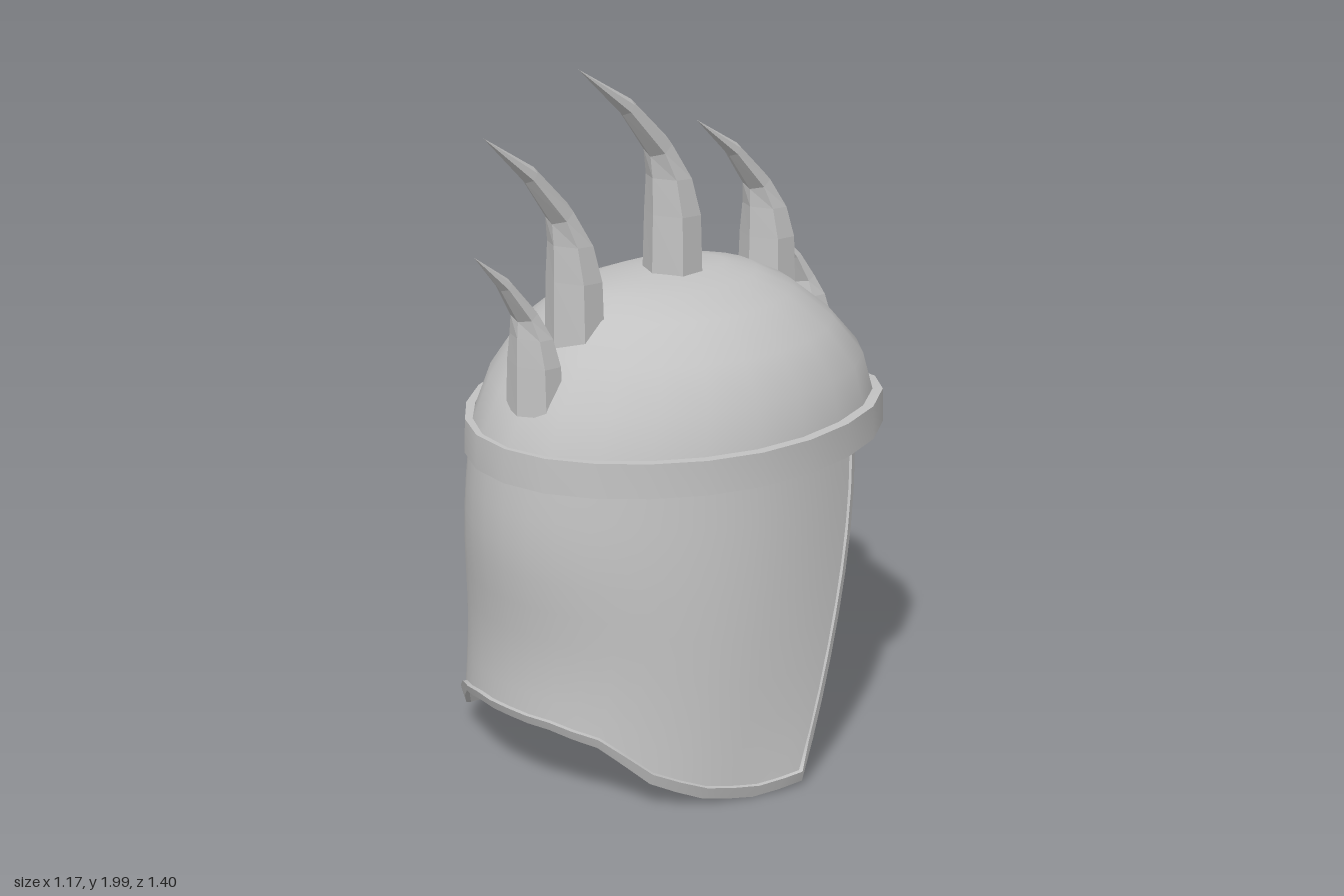
import * as THREE from 'three';
import { mergeGeometries } from 'three/addons/utils/BufferGeometryUtils.js';

const { lerp, clamp, degToRad } = THREE.MathUtils;

// Smooth surface through rows of points; rows run upward, columns from the front towards +x
function loft(rows, closed) {
  const n = rows[0].length, pos = [], idx = [];
  rows.forEach(row => row.forEach(p => pos.push(...p)));
  for (let r = 0; r < rows.length - 1; r++) {
    for (let j = 0; j < (closed ? n : n - 1); j++) {
      const k = (j + 1) % n, a = r * n + j, b = r * n + k, c = a + n, d = b + n;
      idx.push(a, b, c, b, d, c);
    }
  }
  const g = new THREE.BufferGeometry();
  g.setAttribute('position', new THREE.Float32BufferAttribute(pos, 3));
  g.setIndex(idx);
  g.computeVertexNormals();
  return g;
}

// Strip swept through a list of cross-sections, with sharp edges along its length
function sweep(sections, closed) {
  const sides = [];
  for (let i = 0; i < sections[0].length - 1; i++) {
    sides.push(loft([sections.map(s => s[i]), sections.map(s => s[i + 1])], closed));
  }
  return mergeGeometries(sides);
}

// Piecewise linear lookup
function lookup(table, x) {
  let i = 1;
  while (i < table.length - 1 && table[i][0] < x) i++;
  const [x0, y0] = table[i - 1], [x1, y1] = table[i];
  return lerp(y0, y1, (x - x0) / (x1 - x0));
}

// Egg plan: slimmer front corners, fuller back corners
function egg(angle) {
  const diagonal = Math.sin(2 * angle) ** 2;
  return 1 + diagonal * (Math.cos(angle) > 0 ? -0.028 : 0.028);
}

// Oval ring point: half width a, front end zf, back end zb
function oval(angle, y, a, zf, zb) {
  const zc = (zf + zb) / 2, k = egg(angle);
  return [a * k * Math.sin(angle), y, zc + (zf - zb) / 2 * k * Math.cos(angle)];
}

// Lower edge height of the guard, from its middle (0) to its side edge (1)
const HEM = [[0, 0.225], [0.17, 0.22], [0.35, 0.185], [0.5, 0.085], [0.66, 0.03], [0.82, 0.005], [1, 0.02]];

// Guard surface: u from -1 to 1 across, t from 0 (top) to 1 (hem)
function guardPoint(u, t, offset = 0) {
  const angle = u * degToRad(112 - 22 * Math.pow(t, 1.5));
  const k = lerp(egg(angle), 1, t * t * 0.7);
  const flare = 0.035 * t * Math.max(0, (Math.abs(u) - 0.8) / 0.2);
  const a = lerp(0.52, 0.54, t) + 0.012 * Math.sin(Math.PI * t) + flare + offset;
  const b = lerp(0.635, 0.58, t) + 0.012 * Math.sin(2 * Math.PI * t) + offset;
  return [a * k * Math.sin(angle), lerp(0.915, lookup(HEM, Math.abs(u)), t),
    lerp(-0.025, 0.03, t) + b * k * Math.cos(angle)];
}

// Curved claw-like horn with a six-sided section
function hornGeometry(lean, height, width) {
  // centre z, centre y, half depth, half width, front tilt
  const rings = [[0, -0.01, 0.085, 0.08, -0.02], [0, 0.165, 0.081, 0.075, 0.01],
    [0.015, 0.27, 0.067, 0.06, 0.01], [0.06, 0.362, 0.03, 0.042, -0.05],
    [0.18, 0.49, 0.016, 0.025, -0.04], [0.36, 0.62, 0, 0, 0]];
  const corners = [[0, 1], [1, 0.5], [1, -0.4], [0, -1], [-1, -0.4], [-1, 0.5]];
  const rows = rings.map(([cz, cy, d, w, tilt]) => corners.map(([x, z]) =>
    [x * w, (cy + tilt * z / 2) * height, cz * lean + z * d * width]));
  const g = loft(rows, true).toNonIndexed();
  g.computeVertexNormals();
  return g;
}

export function createModel() {
  const model = new THREE.Group();
  const metal = new THREE.MeshStandardMaterial({ color: 0xc2c2c2, side: THREE.DoubleSide });
  metal.name = 'grey metal';
  const add = (name, geometry) => {
    const mesh = new THREE.Mesh(geometry, metal);
    mesh.name = name;
    model.add(mesh);
    return mesh;
  };
  const angles = Array.from({ length: 24 }, (_, i) => i / 24 * Math.PI * 2);

  // Domed cap: height, half width, front, back
  const domeRings = [[0.915, 0.52, 0.61, -0.66], [1.0, 0.51, 0.597, -0.65], [1.12, 0.483, 0.535, -0.61],
    [1.23, 0.415, 0.445, -0.51], [1.32, 0.305, 0.335, -0.4], [1.365, 0.19, 0.24, -0.31],
    [1.382, 0.09, 0.1, -0.22], [1.388, 0, -0.08, -0.08]];
  add('dome', loft(domeRings.map(r => angles.map(t => oval(t, ...r))), true));

  // Brow band, flush at the front and drawn to a low pointed lip at the back
  const band = angles.map(t => {
    const around = Math.min(t, 2 * Math.PI - t);
    const o = 0.004 + 0.016 * Math.min(1, around / degToRad(60));
    const drop = 0.05 * Math.max(0, (around - degToRad(140)) / degToRad(40));
    const lip = oval(t, 0.913, 0.52 + o, 0.61 + o, -0.66 - o);
    if (around > degToRad(170)) lip[2] = -0.7;
    return [oval(t, 0.913, 0.51, 0.6, -0.64), lip,
      oval(t, 1.01 - drop, 0.518 + o, 0.605 + o, -0.655 - o), oval(t, 1.01 - drop, 0.508, 0.595, -0.648)];
  });
  add('browBand', sweep(band, true));

  // Wrap-around guard hanging from the band
  const across = Array.from({ length: 25 }, (_, i) => i / 12 - 1);
  const down = Array.from({ length: 9 }, (_, i) => i / 8);
  add('guard', loft([...down].reverse().map(t => across.map(u => guardPoint(u, t))), false));

  // Raised bevelled rim along the sides and hem of the guard
  const path = [...down.slice(0, -1).map(t => [-1, t]), ...across.map(u => [u, 1]),
    ...down.slice(0, -1).reverse().map(t => [1, t])];
  const rim = path.map(([u, t]) => {
    const iu = clamp(u, -0.975, 0.975), it = Math.min(t, 0.96);
    const edge = guardPoint(u, t, 0);
    return [edge, guardPoint(iu, it, t === 1 ? 0.014 : 0.007),
      guardPoint(iu, it, -0.014), guardPoint(u, t, -0.014), edge];
  });
  add('guardRim', sweep(rim, false));

  // Crest of horns from front to back: z, y, lean, height, width
  const horns = [[0.492, 1.105, 0.58, 0.735, 0.8], [0.34, 1.27, 0.89, 0.97, 0.95], [-0.04, 1.38, 1, 1, 1],
    [-0.43, 1.27, 0.83, 0.84, 0.95], [-0.598, 1.045, 0.32, 0.57, 0.9]];
  horns.forEach(([z, y, lean, height, width], i) => {
    add('crestHorn' + (i + 1), hornGeometry(lean, height, width)).position.set(0, y, z);
  });

  return model;
}
